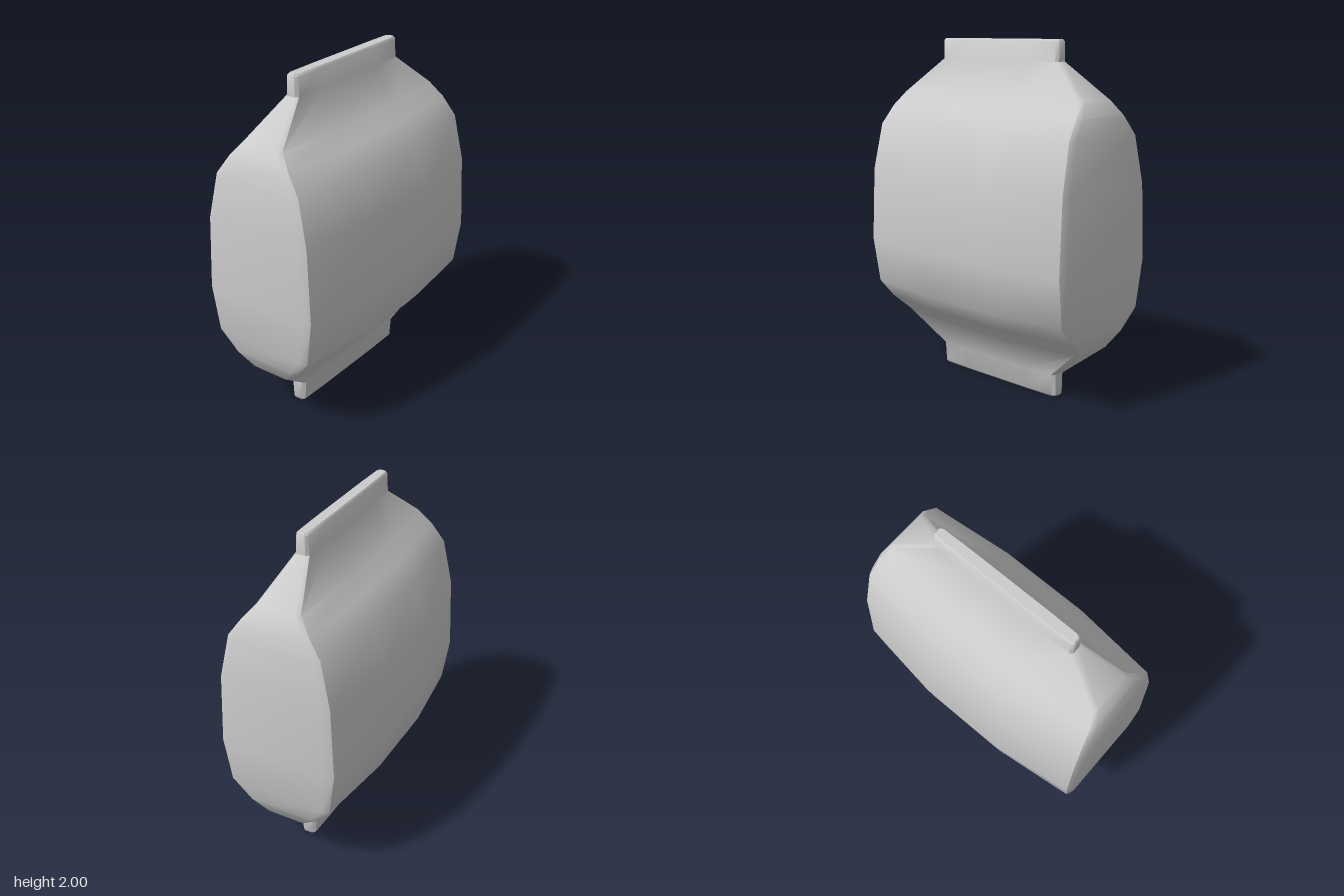
import * as THREE from 'three';
import { toCreasedNormals } from 'three/addons/utils/BufferGeometryUtils.js';

// Cross-sections from bottom to top: height, half width, half depth at the middle, half depth at the corners
const SECTIONS = [
  [0.00, 0.448, 0.036, 0.032],
  [0.012, 0.457, 0.046, 0.042],
  [0.13, 0.457, 0.055, 0.050],
  [0.32, 0.700, 0.180, 0.130],
  [0.41, 0.745, 0.278, 0.225],
  [0.52, 0.766, 0.370, 0.312],
  [0.79, 0.778, 0.419, 0.350],
  [1.22, 0.778, 0.394, 0.330],
  [1.49, 0.766, 0.320, 0.272],
  [1.60, 0.745, 0.238, 0.195],
  [1.68, 0.705, 0.160, 0.130],
  [1.88, 0.457, 0.045, 0.040],
  [1.988, 0.457, 0.039, 0.035],
  [2.00, 0.448, 0.029, 0.026],
];

// One closed outline: bowed front and back, chamfered corners, flat sides
function outline([y, w, d, e]) {
  const c = w - 0.017, s = Math.max(e * 0.86, e - 0.045) * (w < 0.46 ? 0.7 : 1);
  const half = [[-w, s], [-c, e], [-0.26, d], [0.26, d], [c, e], [w, s]];
  return [...half, ...half.map(([x, z]) => [-x, -z])].map(([x, z]) => [x, y, z]);
}

// Skin the outlines together and close both ends
function skin(rows) {
  const n = rows[0].length, last = rows.length - 1, index = [];
  const points = rows.flat();
  const bottom = points.length, top = bottom + 1;
  points.push([0, rows[0][0][1], 0], [0, rows[last][0][1], 0]);
  for (let j = 0; j < n; j++) {
    const k = (j + 1) % n;
    for (let i = 0; i < last; i++) {
      const a = i * n + j, b = i * n + k;
      index.push(a, b, b + n, a, b + n, a + n);
    }
    index.push(bottom, k, j, top, last * n + j, last * n + k);
  }
  const geometry = new THREE.BufferGeometry();
  geometry.setAttribute('position', new THREE.Float32BufferAttribute(points.flat(), 3));
  geometry.setIndex(index);
  return toCreasedNormals(geometry, THREE.MathUtils.degToRad(38));
}

export function createModel() {
  const group = new THREE.Group();
  group.name = 'sealedPouch';

  // Puffed pouch with a flat sealed strip at each end
  const pouch = new THREE.Mesh(
    skin(SECTIONS.map(outline)),
    new THREE.MeshStandardMaterial({ color: 0xcccccc })
  );
  pouch.name = 'pouchBody';
  group.add(pouch);
  return group;
}
